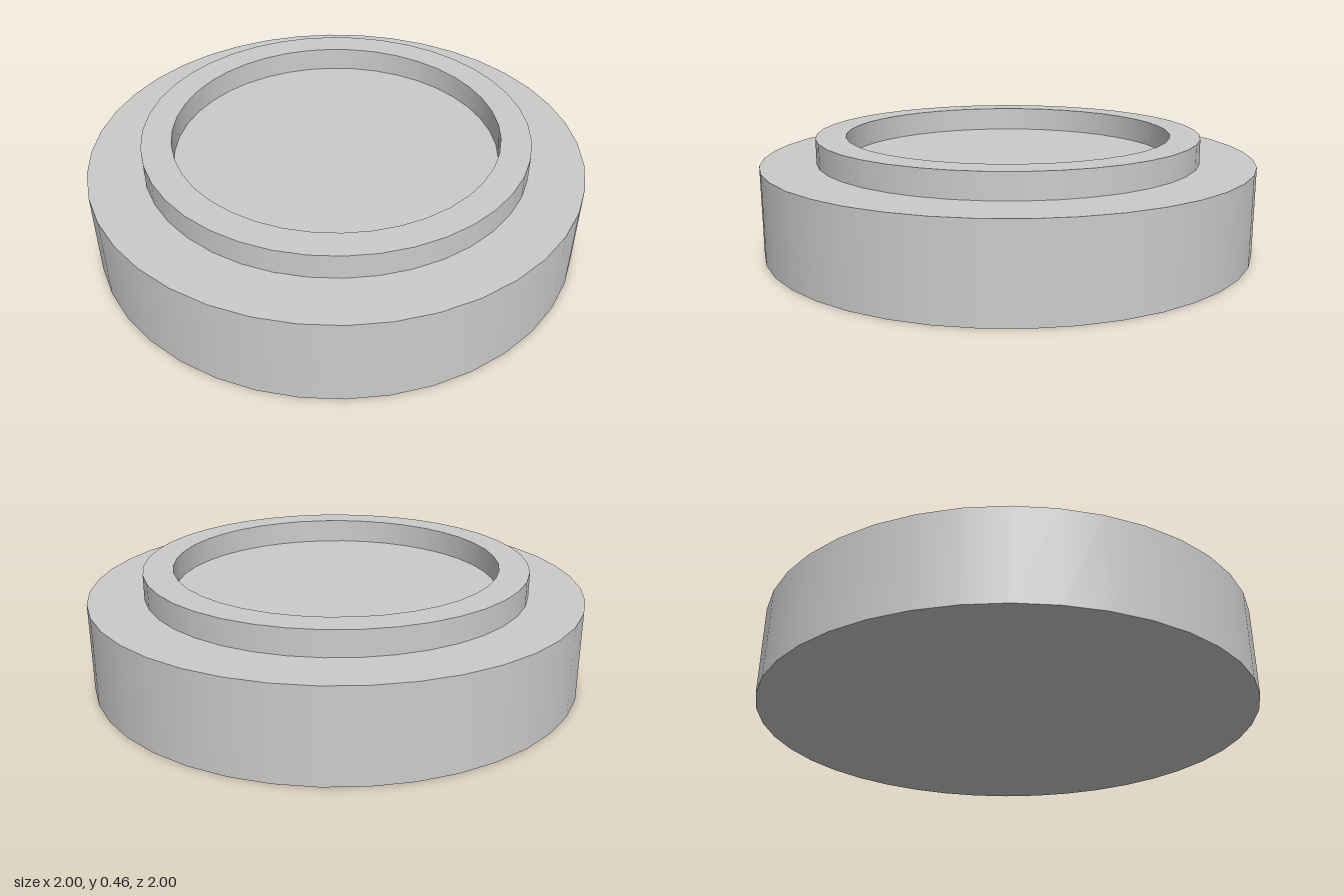
import * as THREE from 'three';
import { mergeGeometries } from 'three/addons/utils/BufferGeometryUtils.js';

const SIDES = 40;
const BASE_HEIGHT = 0.36;
const RIM_HEIGHT = 0.1;
const RIM_OUTER = 0.78;
const RIM_INNER = 0.66;

// Revolves each profile edge separately: smooth around, sharp between edges
function revolve(profile) {
  const bands = [];
  for (let i = 0; i < profile.length - 1; i++) {
    const edge = [profile[i], profile[i + 1]].map(([r, y]) => new THREE.Vector2(r, y));
    bands.push(new THREE.LatheGeometry(edge, SIDES));
  }
  return mergeGeometries(bands);
}

export function createModel() {
  const model = new THREE.Group();
  model.name = 'steppedDisc';
  const material = new THREE.MeshStandardMaterial({ color: 0xcccccc });

  // Wide solid disc; its top is also the floor inside the rim
  const base = new THREE.Mesh(new THREE.CylinderGeometry(1, 1, BASE_HEIGHT, SIDES), material);
  base.name = 'base';
  base.position.y = BASE_HEIGHT / 2;

  // Raised ring: outer wall, flat top, inner wall
  const rim = new THREE.Mesh(revolve([
    [RIM_OUTER, 0],
    [RIM_OUTER, RIM_HEIGHT],
    [RIM_INNER, RIM_HEIGHT],
    [RIM_INNER, 0],
  ]), material);
  rim.name = 'raisedRim';
  rim.position.y = BASE_HEIGHT;

  model.add(base, rim);
  return model;
}
